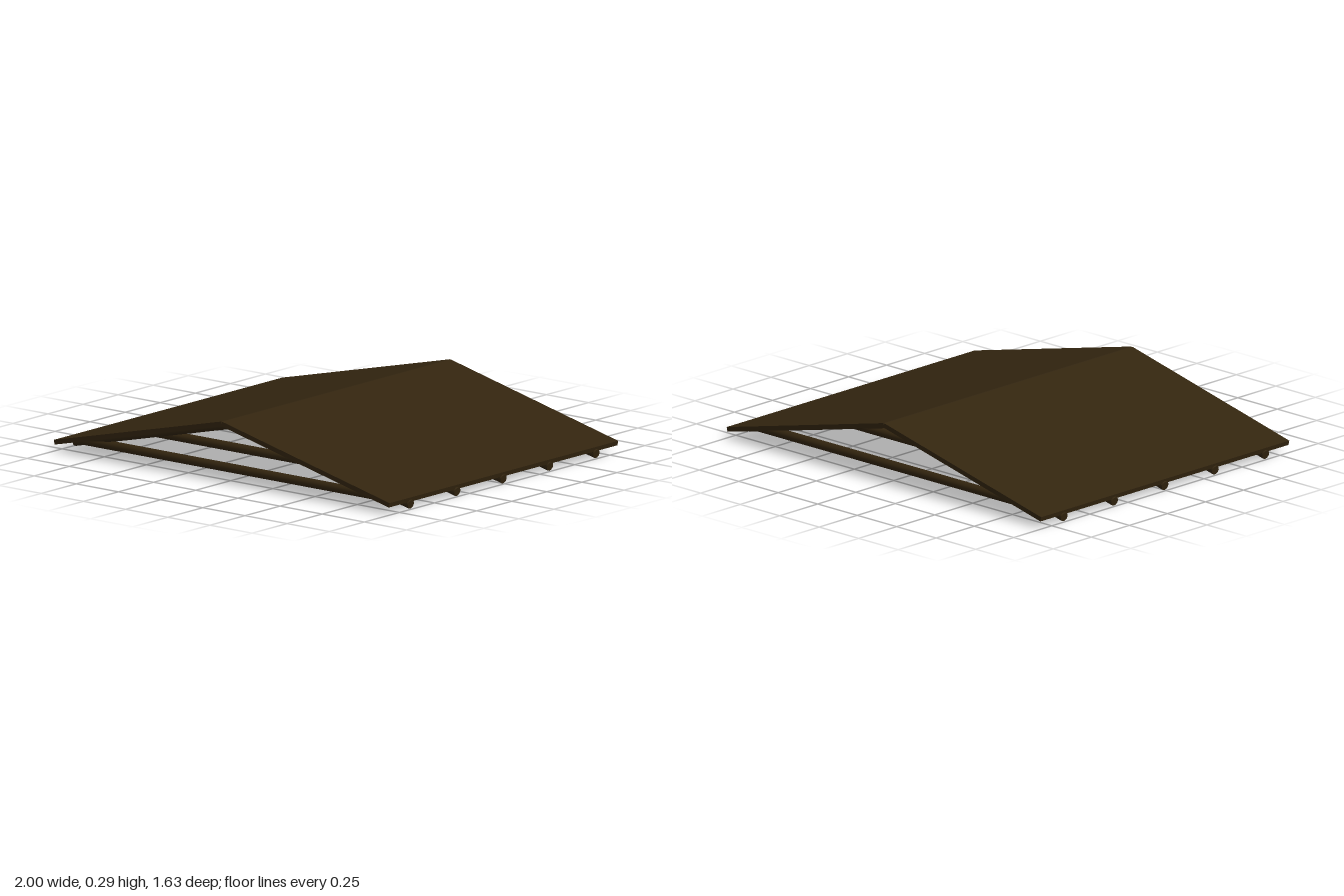
import * as THREE from 'three';

export function createModel() {
  const model = new THREE.Group();
  model.name = 'gableRoof';
  const wood = new THREE.MeshStandardMaterial({ color: 0x33250f });
  wood.name = 'dark brown wood';

  const run = 0.993, rise = 0.2335, depth = 1.63, poleRadius = 0.0215;
  const slope = Math.atan2(rise, run), length = Math.hypot(run, rise);

  const add = (parent, name, geometry, x, y, z, tilt) => {
    const mesh = new THREE.Mesh(geometry, wood);
    mesh.name = name;
    mesh.position.set(x, y, z);
    mesh.rotation.z = tilt;
    parent.add(mesh);
  };

  const slab = new THREE.BoxGeometry(length, 0.022, depth);
  const pole = (l) => new THREE.CylinderGeometry(poleRadius, poleRadius, l, 12).rotateZ(Math.PI / 2);
  const rafter = pole(length + 0.003);
  const tie = pole(1.98);

  // Two roof slopes meeting at the ridge
  for (const side of [1, -1]) {
    add(model, side > 0 ? 'leftRoofPanel' : 'rightRoofPanel', slab,
      side * run / 2, 0.044 + rise / 2, 0, -side * slope);
  }

  // Five round-pole trusses under the roof
  for (let i = -2; i <= 2; i++) {
    const truss = new THREE.Group();
    truss.name = 'truss';
    truss.position.z = i * 0.331;
    for (const side of [1, -1]) {
      add(truss, side > 0 ? 'leftRafter' : 'rightRafter', rafter,
        side * run / 2, 0.0215 + rise / 2, 0, -side * slope);
    }
    add(truss, 'tieBeam', tie, 0, 0.033, 0, 0);
    model.add(truss);
  }
  return model;
}
